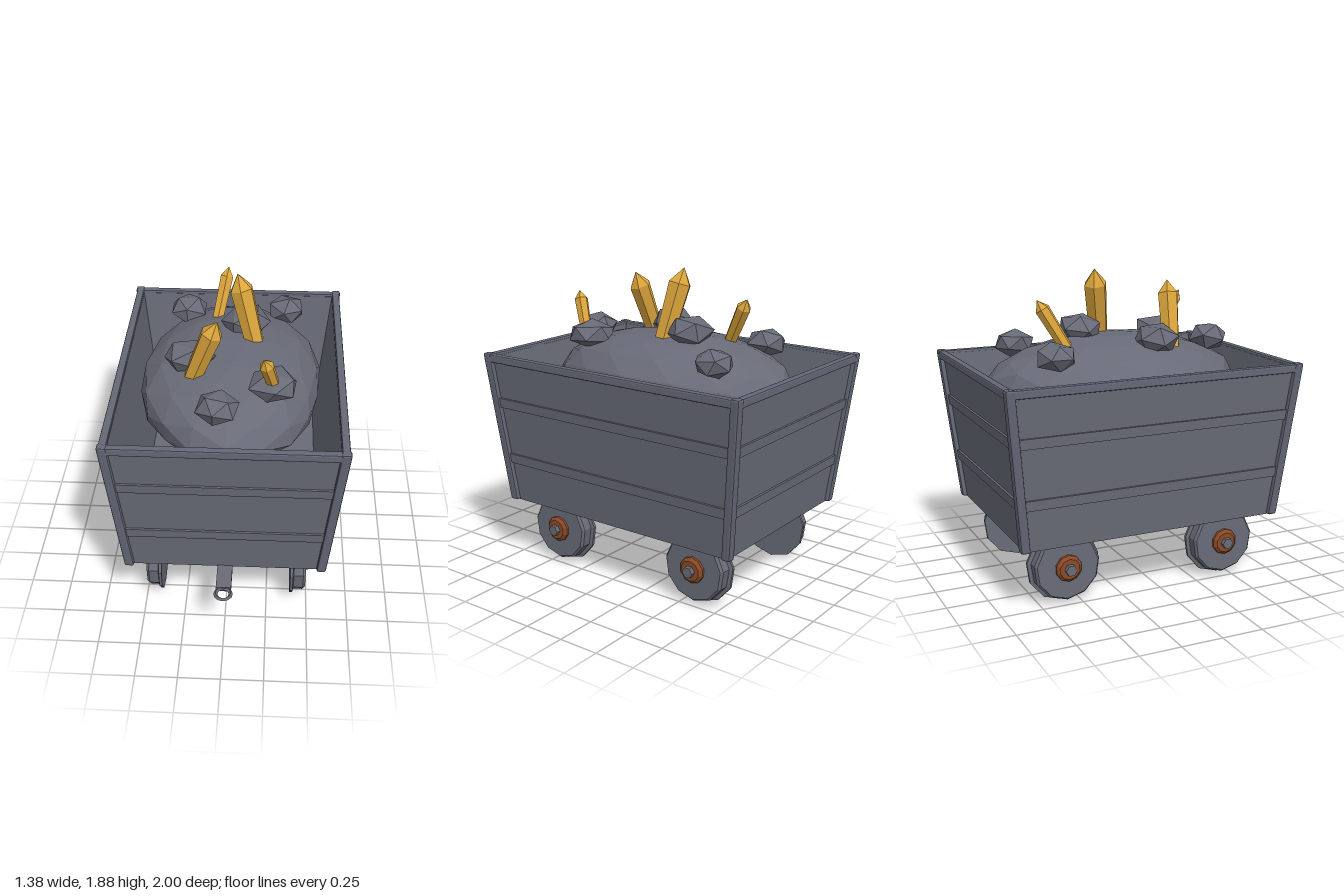
import * as THREE from 'three';
import { RoundedBoxGeometry } from 'three/addons/geometries/RoundedBoxGeometry.js';

const mat = (name, color) => {
  const m = new THREE.MeshStandardMaterial({ color, flatShading: true });
  m.name = name;
  return m;
};

const CZ = -0.08;                 // centre of the tub along z
const Y0 = 0.39, Y1 = 1.32;       // tub bottom and top
const wall = (y) => {             // outer half sizes of the tub at height y
  const t = (y - Y0) / (Y1 - Y0);
  return [0.573 + 0.089 * t, 0.798 + 0.096 * t];
};

// Skin over rectangular rings given as [halfX, halfZ, y]
function loft(rings) {
  const pos = [], idx = [];
  for (const [hx, hz, y] of rings)
    for (const [sx, sz] of [[-1, 1], [1, 1], [1, -1], [-1, -1]]) pos.push(sx * hx, y, sz * hz);
  for (let i = 0; i < rings.length - 1; i++)
    for (let j = 0; j < 4; j++) {
      const a = i * 4 + j, b = i * 4 + (j + 1) % 4;
      idx.push(a, b, a + 4, b, b + 4, a + 4);
    }
  const g = new THREE.BufferGeometry();
  g.setAttribute('position', new THREE.Float32BufferAttribute(pos, 3));
  g.setIndex(idx);
  g.computeVertexNormals();
  return g;
}

// Move every vertex of a geometry by a rule
function deform(g, rule) {
  const p = g.attributes.position, v = new THREE.Vector3();
  for (let i = 0; i < p.count; i++) {
    rule(v.fromBufferAttribute(p, i));
    p.setXYZ(i, v.x, v.y, v.z);
  }
  g.computeVertexNormals();
  return g;
}

// Steady unevenness that depends only on direction
const bump = (v, seed) =>
  Math.sin(v.x * 5.1 + seed * 2.3) * Math.cos(v.z * 4.3 + seed * 1.7) + 0.6 * Math.sin(v.y * 6.7 + v.x * 3.1 + seed);

const lathe = (pts, sides, start = 0) =>
  new THREE.LatheGeometry(pts.map(([r, y]) => new THREE.Vector2(r, y)), sides, start);

export function createModel() {
  const root = new THREE.Group();
  root.name = 'mineCart';
  const metal = mat('greyMetal', 0x696c78);
  const trim = mat('greyTrim', 0x656877);
  const stone = mat('stone', 0x686a77);
  const gold = mat('goldCrystal', 0xdba53c);
  const rust = mat('rustyBrown', 0x8a4a28);

  const add = (parent, name, geo, material, x = 0, y = 0, z = 0) => {
    const m = new THREE.Mesh(geo, material);
    m.name = name;
    m.position.set(x, y, z);
    parent.add(m);
    return m;
  };

  // Tub with floor, flared walls and hollow inside
  const tub = new THREE.Group();
  tub.name = 'tub';
  tub.position.z = CZ;
  root.add(tub);
  const [bx, bz] = wall(Y0), [tx, tz] = wall(Y1);
  add(tub, 'tubShell', loft([
    [0, 0, Y0], [bx, bz, Y0], [tx, tz, Y1], [tx - 0.025, tz - 0.025, Y1],
    [bx - 0.03, bz - 0.035, 0.46], [0, 0, 0.46],
  ]), metal);

  // Raised bands around the walls
  for (const [lo, hi] of [[0.64, 0.70], [1.0, 1.06]]) {
    const [ax, az] = wall(lo), [cx, cz] = wall(hi), t = 0.014;
    add(tub, 'wallBand', loft([[ax, az, lo], [ax + t, az + t, lo], [cx + t, cz + t, hi], [cx, cz, hi]]), metal);
  }

  // Leaning corner posts
  for (const sx of [-1, 1]) for (const sz of [-1, 1]) {
    const h = 1.342 - Y0;
    const g = deform(new RoundedBoxGeometry(0.056, h, 0.056, 1, 0.012), (v) => {
      const [hx, hz] = wall(v.y + Y0 + h / 2);
      v.x += sx * hx;
      v.z += sz * hz;
    });
    add(tub, 'cornerPost', g, trim, 0, Y0 + h / 2, 0);
  }

  // Top rim
  for (const s of [-1, 1]) {
    add(tub, 'sideRim', new RoundedBoxGeometry(0.046, 0.05, tz * 2, 1, 0.009), trim, s * tx, 1.312, 0);
    add(tub, 'endRim', new RoundedBoxGeometry(tx * 2, 0.05, 0.046, 1, 0.009), trim, 0, 1.312, s * tz);
  }

  // Axles with brackets, flanged wheels and hubs
  const wheelGeo = lathe([[0, 0.395], [0.225, 0.395], [0.225, 0.412], [0.203, 0.418],
    [0.203, 0.475], [0.19, 0.49], [0, 0.49]], 11, Math.PI / 2);
  const hubGeo = lathe([[0, 0.485], [0.08, 0.485], [0.08, 0.505], [0.062, 0.522], [0, 0.522]], 10, Math.PI / 2);
  for (const z of [0.44, -0.59]) {
    const set = new THREE.Group();
    set.name = 'wheelSet';
    set.position.set(0, 0.225, z);
    root.add(set);
    add(set, 'axle', new THREE.CylinderGeometry(0.034, 0.034, 1.1, 6), metal).rotation.z = Math.PI / 2;
    for (const s of [-1, 1]) {
      const side = new THREE.Group();
      side.name = s > 0 ? 'leftWheel' : 'rightWheel';
      side.rotation.y = s > 0 ? 0 : Math.PI;
      set.add(side);
      add(side, 'wheel', wheelGeo, metal).rotation.z = -Math.PI / 2;
      add(side, 'hub', hubGeo, rust).rotation.z = -Math.PI / 2;
      add(side, 'axleBracket', new THREE.BoxGeometry(0.09, 0.16, 0.12), metal, 0.36, 0.095, 0);
    }
  }

  // Coupling bar and ring at the front
  add(root, 'couplingBar', new THREE.BoxGeometry(0.09, 0.03, 0.19), metal, 0, 0.382, 0.81);
  add(root, 'couplingRing', new THREE.TorusGeometry(0.045, 0.012, 4, 12), metal, 0, 0.382, 0.943).rotation.x = Math.PI / 2;

  // Heaped ore
  const load = new THREE.Group();
  load.name = 'oreLoad';
  root.add(load);
  add(load, 'oreMound', deform(new THREE.IcosahedronGeometry(1, 2), (v) => {
    v.multiplyScalar(1 + 0.025 * bump(v, 1));
    v.set(v.x * 0.555, v.y * 0.29, v.z * 0.79);
  }), stone, 0, 1.2, -0.09);

  // Loose rocks: x, y, z, then radii
  [
    [-0.30, 1.42, -0.57, 0.125, 0.09, 0.13],
    [0.33, 1.41, -0.61, 0.125, 0.085, 0.125],
    [0.08, 1.51, -0.27, 0.155, 0.10, 0.13],
    [-0.24, 1.47, 0.09, 0.16, 0.10, 0.135],
    [0.26, 1.45, 0.34, 0.155, 0.09, 0.15],
    [-0.05, 1.43, 0.55, 0.13, 0.095, 0.13],
  ].forEach(([x, y, z, rx, ry, rz], i) => {
    const g = new THREE.IcosahedronGeometry(1, 0).rotateY(i * 1.3).rotateX(i * 0.7);
    add(load, 'rock', deform(g, (v) => {
      v.multiplyScalar(1 + 0.06 * bump(v, i));
      v.set(v.x * rx, v.y * ry, v.z * rz);
    }), stone, x, y, z);
  });

  // Leaning crystals: base point, tip point, radius
  for (const [a, b, r] of [
    [[0.145, 1.42, -0.115], [0.03, 1.875, -0.19], 0.072],
    [[-0.215, 1.40, 0.205], [-0.065, 1.80, 0.25], 0.066],
    [[-0.11, 1.40, -0.41], [-0.04, 1.715, -0.585], 0.045],
    [[0.27, 1.44, 0.365], [0.205, 1.70, 0.475], 0.042],
  ]) {
    const base = new THREE.Vector3(...a), dir = new THREE.Vector3(...b).sub(base), len = dir.length();
    const g = lathe([[0, 0], [r * 0.82, 0], [r, len - r * 1.35], [0, len]], 6);
    const m = add(load, 'crystal', g, gold, ...a);
    m.quaternion.setFromUnitVectors(new THREE.Vector3(0, 1, 0), dir.normalize());
  }

  return root;
}
